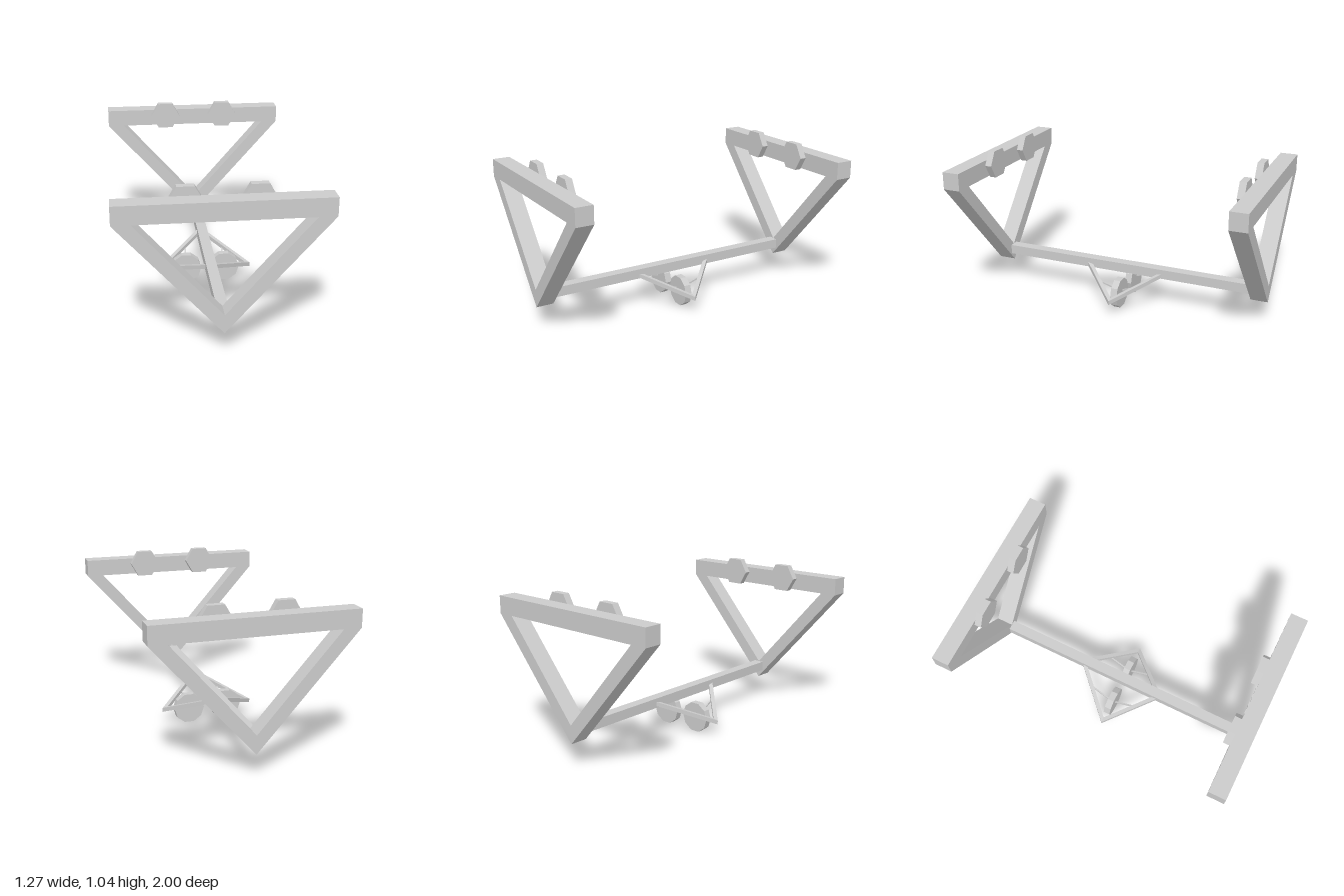
import * as THREE from 'three';

const material = new THREE.MeshStandardMaterial({ color: 0xcccccc, flatShading: true });

function add(parent, name, geometry, x = 0, y = 0, z = 0) {
  const mesh = new THREE.Mesh(geometry, material);
  mesh.name = name;
  mesh.position.set(x, y, z);
  parent.add(mesh);
  return mesh;
}

const toShape = (points) => new THREE.Shape(points.map(([x, y]) => new THREE.Vector2(x, y)));

// Triangular end frame with a triangular opening
function endFrameGeometry() {
  const shape = toShape([[0, 0.155], [0.637, 0.87], [0.637, 0.985], [-0.637, 0.985], [-0.637, 0.87]]);
  shape.holes.push(toShape([[0, 0.275], [-0.525, 0.87], [0.525, 0.87]]));
  return new THREE.ExtrudeGeometry(shape, { depth: 0.115, bevelEnabled: false });
}

// Polygonal disc facing z, with flat top and bottom
function discGeometry(radius, thickness, sides) {
  return new THREE.CylinderGeometry(radius, radius, thickness, sides)
    .rotateY(Math.PI / 2).rotateX(Math.PI / 2);
}

// V-shaped bracket in plan, drooping toward its outer corner
function bracketGeometry(side) {
  const shape = toShape([
    [0.02, 0.295], [0.02, 0.258], [0.278, 0], [0.02, -0.258], [0.02, -0.295], [0.315, 0],
  ].map(([x, z]) => [side * x, z]));
  const geometry = new THREE.ExtrudeGeometry(shape, { depth: 0.028, bevelEnabled: false });
  geometry.rotateX(-Math.PI / 2);
  const p = geometry.attributes.position;
  for (let i = 0; i < p.count; i++) {
    p.setY(i, p.getY(i) + 0.16 + 0.24 * (Math.abs(p.getZ(i)) - Math.abs(p.getX(i))));
  }
  geometry.computeVertexNormals();
  return geometry;
}

// Thin square rod between two points
function addRod(parent, name, from, to, size) {
  const rod = add(parent, name, new THREE.BoxGeometry(size, size, from.distanceTo(to)));
  rod.position.copy(from).add(to).multiplyScalar(0.5);
  rod.lookAt(to);
}

export function createModel() {
  const model = new THREE.Group();
  model.name = 'model';

  // Spine joining the two frames
  add(model, 'spine', new THREE.BoxGeometry(0.07, 0.065, 1.78), 0, 0.2425, 0);

  // End frames with hexagonal pads on their inner faces
  for (const end of [1, -1]) {
    const frame = new THREE.Group();
    frame.name = end > 0 ? 'frontFrame' : 'backFrame';
    add(frame, 'triangleFrame', endFrameGeometry(), 0, 0, end > 0 ? 0.885 : -1);
    for (const side of [1, -1]) {
      add(frame, side > 0 ? 'leftPad' : 'rightPad', discGeometry(0.104, 0.045, 6),
        side * 0.212, 0.95, end * 0.8625);
    }
    model.add(frame);
  }

  // Wheels hung from the brackets on angled axles
  for (const side of [1, -1]) {
    const carrier = new THREE.Group();
    carrier.name = side > 0 ? 'leftWheelCarrier' : 'rightWheelCarrier';
    carrier.position.x = -0.008;
    add(carrier, 'bracket', bracketGeometry(side));
    add(carrier, 'wheel', discGeometry(0.104, 0.046, 10), side * 0.131, 0.1, 0);
    for (const end of [1, -1]) {
      addRod(carrier, 'axle', new THREE.Vector3(side * 0.131, 0.108, 0),
        new THREE.Vector3(side * 0.131, 0.17, end * 0.16), 0.01);
    }
    model.add(carrier);
  }

  return model;
}
